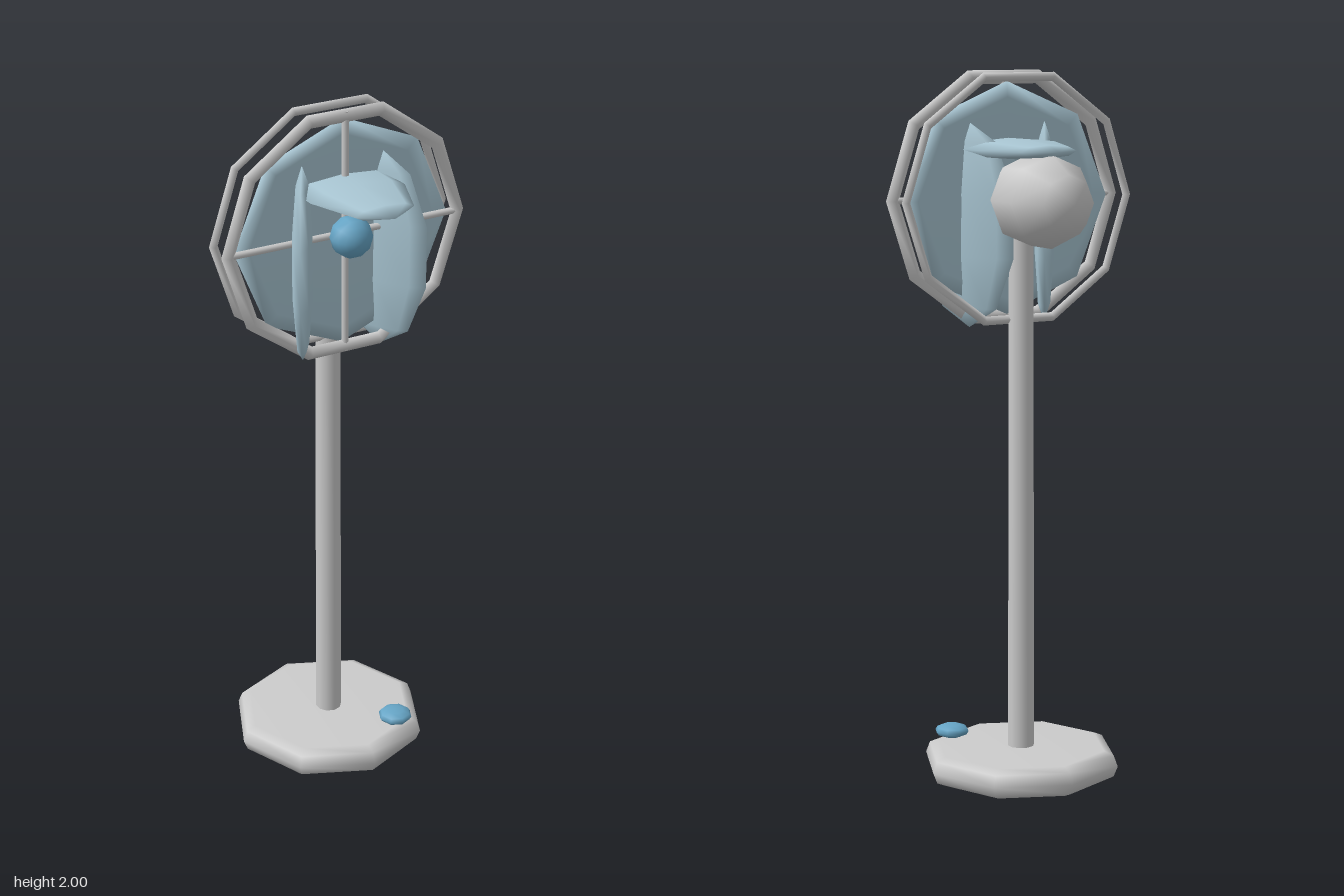
import * as THREE from 'three';

const grey = new THREE.MeshStandardMaterial({ color: 0xcccccc });
const paleBlue = new THREE.MeshStandardMaterial({ color: 0xa9c6d3 });
const blue = new THREE.MeshStandardMaterial({ color: 0x66a5c6 });

const HEAD_Y = 1.645;   // height of the fan axis
const BLADE_Z = 0.04;   // plane of the blades
const POLE_Z = -0.04;   // axis of pole and base

export function createModel() {
  const model = new THREE.Group();
  model.name = 'pedestalFan';

  const add = (name, geometry, material, x, y, z) => {
    const mesh = new THREE.Mesh(geometry, material);
    mesh.name = name;
    mesh.position.set(x, y, z);
    model.add(mesh);
    return mesh;
  };

  // Faceted ellipsoid with its poles along z
  const ellipsoid = (rx, ry, rz, sides = 8, rows = 5) =>
    new THREE.SphereGeometry(1, sides, rows).rotateX(Math.PI / 2).scale(rx, ry, rz);

  // Octagonal base with a rounded rim
  const profile = [[0, 0], [0.245, 0], [0.273, 0.012], [0.285, 0.042], [0.273, 0.073], [0.245, 0.085], [0, 0.085]]
    .map(([r, y]) => new THREE.Vector2(r, y));
  add('base', new THREE.LatheGeometry(profile, 8), grey, 0, 0, POLE_Z);

  // Control knob on the base
  add('knob', new THREE.SphereGeometry(1, 8, 6).scale(0.05, 0.02, 0.05), blue, 0.133, 0.104, 0.13);

  // Pole
  add('pole', new THREE.CylinderGeometry(0.035, 0.038, 1.53, 10), grey, 0, 0.845, POLE_Z);

  // Motor housing and hub
  add('motorHousing', ellipsoid(0.134, 0.134, 0.18), grey, 0, HEAD_Y + 0.005, -0.15);
  add('hub', ellipsoid(0.059, 0.059, 0.059, 10, 8), blue, 0, HEAD_Y + 0.005, 0.092);

  // Thin disc behind the hub
  const disc = new THREE.SphereGeometry(1, 8, 6).scale(0.325, 0.008, 0.325).rotateX(Math.PI / 2);
  add('disc', disc, paleBlue, 0, HEAD_Y, BLADE_Z);

  // Three blades: one lies flat on top, the side pair stands upright and splays forward
  const bladeShape = ellipsoid(0.15, 0.03, 0.285);
  add('topBlade', bladeShape, paleBlue, 0, HEAD_Y + 0.14, BLADE_Z);
  for (const side of [-1, 1]) {
    const blade = add(side > 0 ? 'leftBlade' : 'rightBlade', bladeShape, paleBlue,
      side * 0.121, HEAD_Y - 0.07, BLADE_Z);
    const width = new THREE.Vector3(side * 0.5, 0, Math.sqrt(0.75));
    const length = new THREE.Vector3(0, 1, 0);
    const thickness = new THREE.Vector3().crossVectors(length, width);
    blade.quaternion.setFromRotationMatrix(new THREE.Matrix4().makeBasis(width, thickness, length));
  }

  // Guard rings
  add('frontGuardRing', new THREE.TorusGeometry(0.35, 0.02, 4, 10), grey, 0, HEAD_Y + 0.003, 0.057);
  add('rearGuardRing', new THREE.TorusGeometry(0.352, 0.013, 4, 10), grey, 0, HEAD_Y + 0.003, -0.027);

  // Crossed guard spokes
  for (const [name, angle, length] of [['verticalSpoke', 0, 0.69], ['horizontalSpoke', Math.PI / 2, 0.7]]) {
    const spoke = add(name, new THREE.CylinderGeometry(0.01, 0.01, length, 8), grey, 0, HEAD_Y + 0.003, 0.057);
    spoke.rotation.z = angle;
  }

  return model;
}
